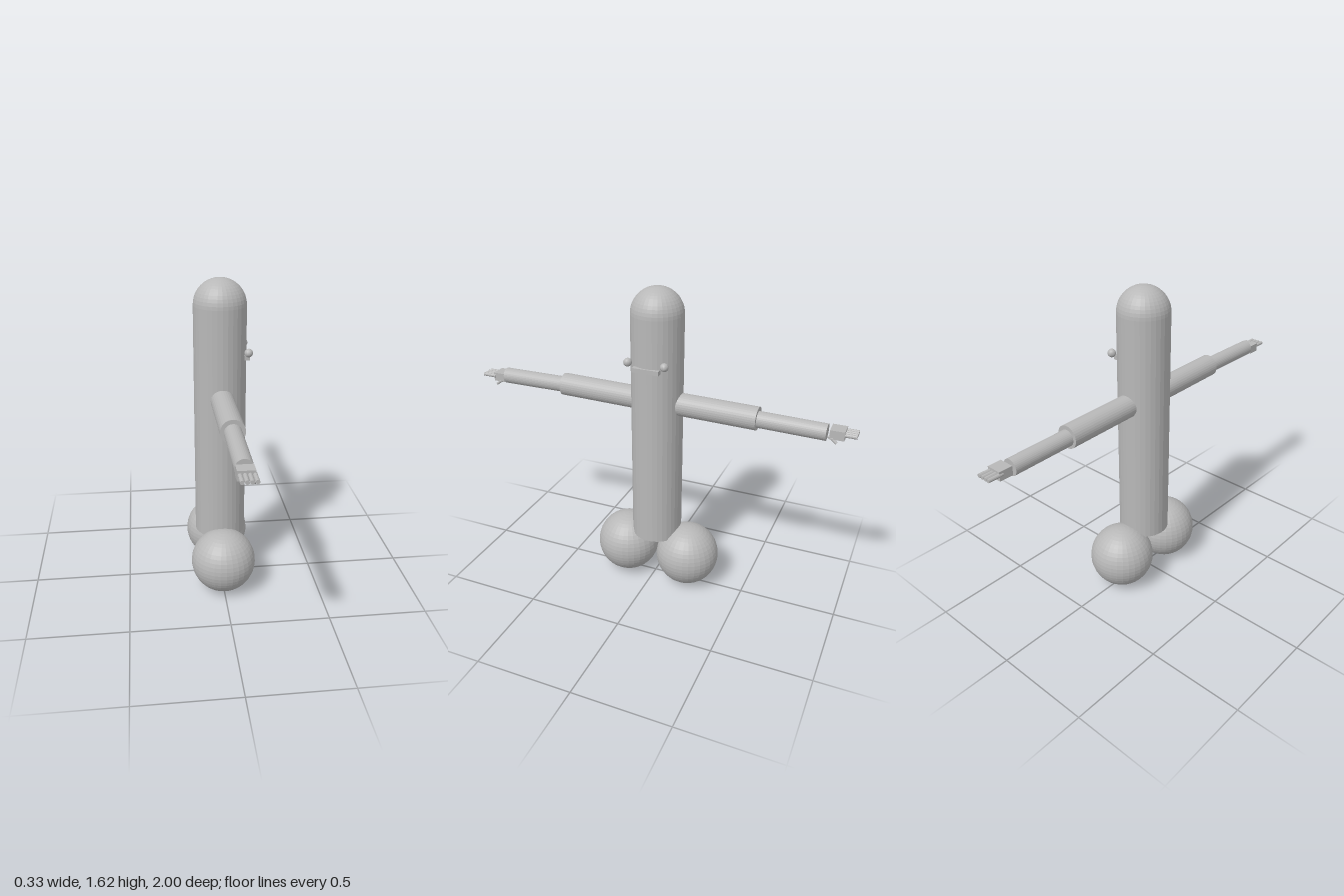
import * as THREE from 'three';

export function createModel() {
  const model = new THREE.Group();
  const grey = new THREE.MeshStandardMaterial({ color: 0xb8b8b8, flatShading: true });
  grey.name = 'plain grey';

  function add(name, geometry, x = 0, y = 0, z = 0) {
    const mesh = new THREE.Mesh(geometry, grey);
    mesh.name = name;
    mesh.position.set(x, y, z);
    model.add(mesh);
    return mesh;
  }

  // Capped cylinder running between two [x, y, z] points
  function rod(name, from, to, radius, sides = 32) {
    const a = new THREE.Vector3(...from);
    const b = new THREE.Vector3(...to);
    const dir = b.clone().sub(a);
    const mesh = add(name, new THREE.CylinderGeometry(radius, radius, dir.length(), sides));
    mesh.position.copy(a).add(b).multiplyScalar(0.5);
    mesh.quaternion.setFromUnitVectors(new THREE.Vector3(0, 1, 0), dir.normalize());
    return mesh;
  }

  // Body column with a domed head
  const bodyZ = -0.008;
  add('body', new THREE.CylinderGeometry(0.131, 0.131, 1.215, 32), 0, 0.8875, bodyZ);
  add('headDome', new THREE.SphereGeometry(0.131, 32, 12, 0, Math.PI * 2, 0, Math.PI / 2), 0, 1.495, bodyZ);

  // Ball feet
  add('leftFoot', new THREE.SphereGeometry(0.167, 32, 24), 0, 0.17, -0.186);
  add('rightFoot', new THREE.SphereGeometry(0.167, 32, 24), 0, 0.17, 0.162);

  // Face on the +x side
  for (const z of [0.092, -0.097]) add('eye', new THREE.SphereGeometry(0.021, 20, 14), 0.129, 1.279, z);
  add('mouth', new THREE.BoxGeometry(0.026, 0.022, 0.138), 0.127, 1.246, -0.002);

  // Arms: s is the side along z; the joints differ slightly from side to side
  const arms = [
    { s: 1, root: 1.044, elbow: [1.051, 0.52], wrist: [1.045, 0.875], palm: [0.872, 0.935], y: 1.045, shift: 0.004 },
    { s: -1, root: 1.046, elbow: [1.039, 0.53], wrist: [1.03, 0.86], palm: [0.876, 0.945], y: 1.042, shift: -0.002 },
  ];
  for (const { s, root, elbow, wrist, palm, y, shift } of arms) {
    rod('upperArm', [0, root, s * 0.06], [0, elbow[0], s * elbow[1]], 0.058);
    rod('forearm', [0, elbow[0] - 0.003, s * (elbow[1] - 0.03)], [0, wrist[0], s * wrist[1]], 0.041);
    // Flattened palm
    add('palm', new THREE.BoxGeometry(0.076, 0.045, palm[1] - palm[0]), 0, y - 0.004, s * (palm[0] + palm[1]) / 2);
    // Four fingers
    for (let i = 0; i < 4; i++) {
      const x = shift + (i - 1.5) * 0.02;
      rod('finger', [x, y, s * 0.925], [x, y, s], 0.0095, 12);
    }
    // Two-jointed thumb hanging below the palm on the face side
    const t = s > 0 ? 0.88 : 0.87;
    rod('thumbBase', [0.028, y - 0.018, s * t], [0.033, y - 0.028, s * (t + 0.024)], 0.008, 12);
    rod('thumbTip', [0.033, y - 0.026, s * (t + 0.018)], [0.036, y - 0.044, s * (t + 0.042)], 0.007, 12);
  }

  return model;
}
